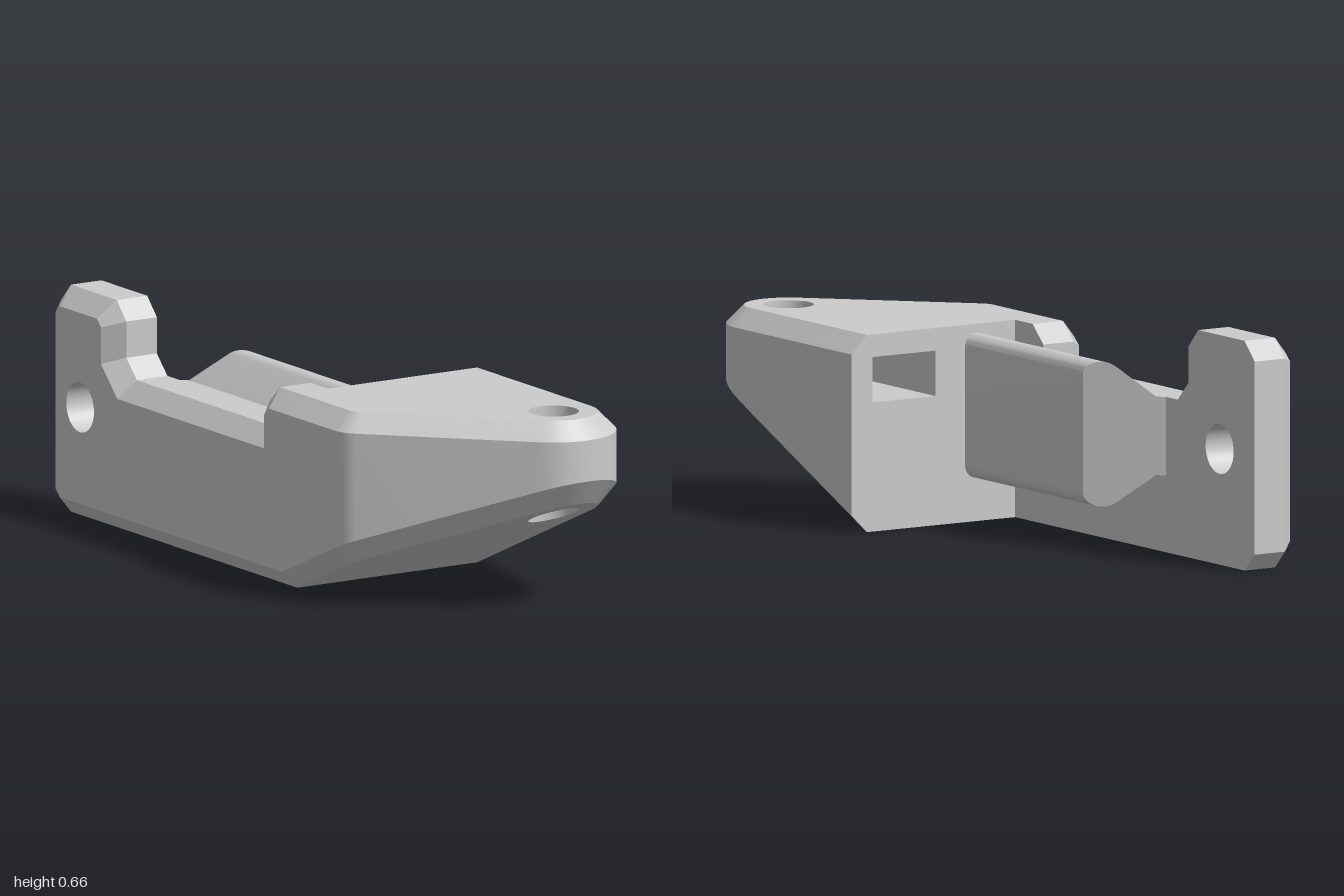
import * as THREE from 'three';
import { toCreasedNormals } from 'three/addons/utils/BufferGeometryUtils.js';

const V2 = (x, y) => new THREE.Vector2(x, y);
const material = new THREE.MeshStandardMaterial({ color: 0xcccccc });
const CHAMFER = 0.052, TOP = 0.565, FRONT = 0.23;

function part(name, geometry) {
  const mesh = new THREE.Mesh(toCreasedNormals(geometry, 0.4), material);
  mesh.name = name;
  return mesh;
}

function arc(cx, cy, r, from, to, n) {
  return Array.from({ length: n + 1 }, (_, i) => {
    const a = THREE.MathUtils.degToRad(from + (to - from) * i / n);
    return V2(cx + r * Math.cos(a), cy + r * Math.sin(a));
  });
}
const circle = (cx, cy, r) => arc(cx, cy, r, 0, 360, 36).slice(0, -1);

// Offsets a counter-clockwise outline inwards, leaving its first edge in place
function inset(points, d) {
  const n = points.length;
  const normal = (i) => {
    const e = points[(i + 1) % n].clone().sub(points[i]).normalize();
    return V2(-e.y, e.x);
  };
  return points.map((p, i) => {
    const j = (i + n - 1) % n, a = normal(j), b = normal(i);
    const da = j === 0 ? 0 : d, db = i === 0 ? 0 : d;
    const det = a.x * b.y - a.y * b.x;
    return V2(p.x + (da * b.y - db * a.y) / det, p.y + (a.x * db - b.x * da) / det);
  });
}

// Skins a stack of outlines; place(point, level) puts each point in space
function loft(rings, place, { hole, skip = -1, inward = false, caps = true } = {}) {
  const pos = [];
  const tri = (a, b, c) => {
    for (const v of inward ? [a, c, b] : [a, b, c]) pos.push(v.x, v.y, v.z);
  };
  const n = rings[0].length, last = rings.length - 1;
  for (let k = 0; k < last; k++) {
    for (let i = 0; i < n; i++) {
      if (i === skip) continue;
      const j = (i + 1) % n;
      const a = place(rings[k][i], k), b = place(rings[k][j], k);
      const c = place(rings[k + 1][j], k + 1), d = place(rings[k + 1][i], k + 1);
      tri(a, c, b);
      tri(a, d, c);
    }
  }
  if (caps) {
    for (const k of [0, last]) {
      const all = hole ? [...rings[k], ...hole] : rings[k];
      for (const f of THREE.ShapeUtils.triangulateShape(rings[k].slice(), hole ? [hole.slice()] : [])) {
        const t = f.map((i) => all[i]);
        if ((THREE.ShapeUtils.area(t) > 0) !== (k === 0)) t.reverse();
        tri(...t.map((p) => place(p, k)));
      }
    }
  }
  const g = new THREE.BufferGeometry();
  g.setAttribute('position', new THREE.Float32BufferAttribute(pos, 3));
  return g;
}

// Front block with sloping underside, upright bore and rear slot
function createBlock() {
  const block = new THREE.Group();
  block.name = 'frontBlock';
  const cx = 0.177, cz = 0.822;
  const slope = (z) => 0.444 * (z - FRONT);
  const outline = [
    V2(-0.355, FRONT), V2(0.355, FRONT),
    ...arc(cx, cz, 0.178, 0, 135, 24),
    ...arc(-0.255, 0.5, 0.1, 135, 180, 8),
  ];
  const inner = inset(outline, CHAMFER);
  const bore = circle(cx, cz, 0.072);
  const heights = [slope, (z) => slope(z) + CHAMFER, () => TOP - CHAMFER, () => TOP];
  block.add(part('blockBody', loft([inner, outline, outline, inner],
    (p, k) => new THREE.Vector3(p.x, heights[k](p.y), p.y), { hole: bore, skip: 0 })));

  // Rear wall with the slot opening
  const [x0, x1, y0, y1] = [0.07, 0.284, 0.37, 0.5];
  const wall = new THREE.Shape([V2(-0.2, 0), V2(0.303, 0), V2(0.355, CHAMFER),
    V2(0.355, TOP - CHAMFER), V2(0.303, TOP), V2(-0.2, TOP)]);
  wall.holes.push(new THREE.Path([V2(x0, y0), V2(x0, y1), V2(x1, y1), V2(x1, y0)]));
  block.add(part('blockRearWall',
    new THREE.ShapeGeometry(wall).rotateY(Math.PI).scale(1, 1, 1).translate(0, 0, FRONT)));
  // Mirror the turned wall back to its own side, keeping it facing backwards
  const rear = block.children[1].geometry, p = rear.attributes.position;
  for (let i = 0; i < p.count; i++) p.setX(i, -p.getX(i));
  for (let i = 0; i < p.count; i += 3) {
    const b = new THREE.Vector3().fromBufferAttribute(p, i + 1);
    const c = new THREE.Vector3().fromBufferAttribute(p, i + 2);
    p.setXYZ(i + 1, c.x, c.y, c.z);
    p.setXYZ(i + 2, b.x, b.y, b.z);
  }
  rear.computeVertexNormals();

  // Slot running in from the rear wall across the bore
  const slot = [V2(x0, FRONT), V2(x1, FRONT), V2(x1, 0.93), V2(x0, 0.93)];
  block.add(part('slot', loft([slot, slot],
    (q, k) => new THREE.Vector3(q.x, k ? y1 : y0, q.y), { hole: bore, skip: 0, inward: true })));
  for (const [name, low, high] of [['lowerBore', slope, y0], ['upperBore', () => y1, TOP]]) {
    block.add(part(name, loft([bore, bore],
      (q, k) => new THREE.Vector3(q.x, k ? high : low(q.y), q.y), { inward: true, caps: false })));
  }
  return block;
}

// Long side arm with a raised rear lug, chamfered on its outer face
function createArm() {
  const arm = new THREE.Group();
  arm.name = 'arm';
  const outline = [[FRONT, 0], [FRONT, TOP], [0.14, TOP], [0.085, 0.513], [0.085, 0.445],
    [-0.605, 0.445], [-0.66, 0.5], [-0.66, 0.605], [-0.71, 0.658], [-0.948, 0.658],
    [-1, 0.605], [-1, 0.052], [-0.948, 0]].map(([z, y]) => V2(z, y));
  const hole = circle(-0.82, 0.332, 0.072);
  const xs = [-0.355, -0.355 + CHAMFER, -0.2];
  arm.add(part('armBody', loft([inset(outline, CHAMFER), outline, outline],
    (p, k) => new THREE.Vector3(xs[k], p.y, p.x), { hole, skip: 0 })));
  arm.add(part('lugBore', loft([hole, hole],
    (p, k) => new THREE.Vector3(xs[2 * k], p.y, p.x), { inward: true, caps: false })));
  return arm;
}

// Flared rail with rounded lips, cut off at 45 degrees at the rear
function createRail() {
  const mid = 0.3325, r = 0.039;
  const upper = [...arc(-0.03 - r, 0.54 - r, r, 0, 135, 14), V2(-0.18, 0.445), V2(-0.2, 0.445)];
  const lower = upper.map((p) => V2(p.x, 2 * mid - p.y)).reverse();
  const g = new THREE.ExtrudeGeometry(new THREE.Shape([...upper, ...lower]),
    { depth: 1, bevelEnabled: false });
  const p = g.attributes.position;
  for (let i = 0; i < p.count; i++) p.setZ(i, p.getZ(i) > 0.5 ? FRONT : p.getX(i) - 0.345);
  return part('rail', g);
}

export function createModel() {
  const model = new THREE.Group();
  model.name = 'bracket';
  model.add(createBlock(), createArm(), createRail());
  return model;
}
